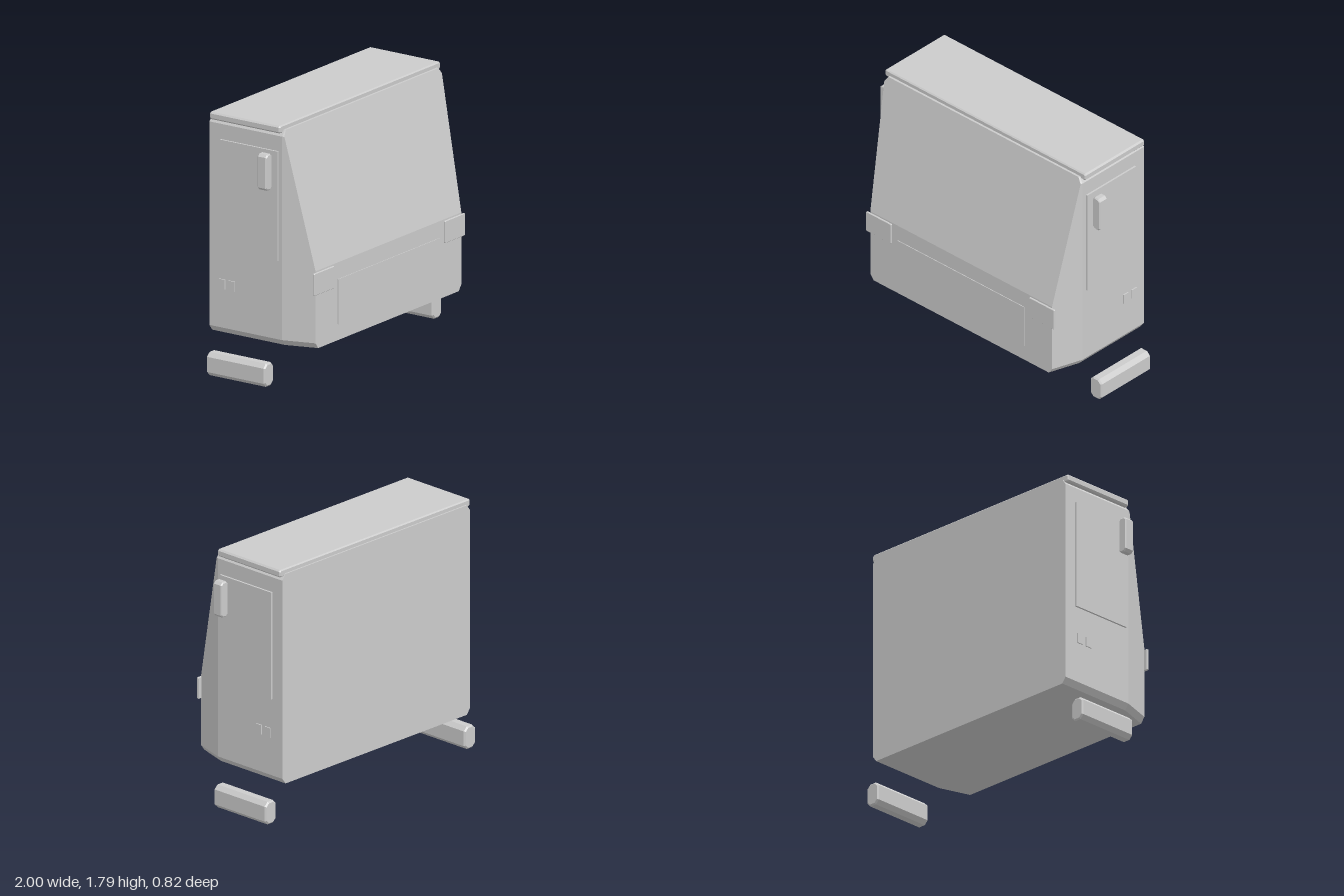
import * as THREE from 'three';

const material = new THREE.MeshStandardMaterial({ color: 0xcccccc, flatShading: true });

// Block between two corners: octagonal in x/y with corner cut c, ends bevelled along z by b
function chamferedBlock(name, [x0, x1], [y0, y1], [z0, z1], c, b) {
  const w = (x1 - x0) / 2 - b, h = (y1 - y0) / 2 - b;
  const shape = new THREE.Shape([
    [w, -h + c], [w, h - c], [w - c, h], [-w + c, h],
    [-w, h - c], [-w, -h + c], [-w + c, -h], [w - c, -h],
  ].map(([x, y]) => new THREE.Vector2(x, y)));
  const depth = z1 - z0 - 2 * b;
  const geometry = new THREE.ExtrudeGeometry(shape, {
    depth, bevelEnabled: true, bevelSize: b, bevelThickness: b, bevelSegments: 1,
  });
  geometry.translate(0, 0, -depth / 2);
  const mesh = new THREE.Mesh(geometry, material);
  mesh.name = name;
  mesh.position.set((x0 + x1) / 2, (y0 + y1) / 2, (z0 + z1) / 2);
  return mesh;
}

function box(name, [x0, x1], [y0, y1], [z0, z1]) {
  const mesh = new THREE.Mesh(new THREE.BoxGeometry(x1 - x0, y1 - y0, z1 - z0), material);
  mesh.name = name;
  mesh.position.set((x0 + x1) / 2, (y0 + y1) / 2, (z0 + z1) / 2);
  return mesh;
}

// Cab shell lofted from six-sided plan sections, the front corners cut at an angle
function cabShell() {
  const back = -0.41, cornerZ = 0.18;
  const sections = [ // height, half width, front z
    [0.275, 0.86, 0.4], [0.315, 0.89, 0.4], [0.81, 0.89, 0.4],
    [1.715, 0.89, 0.195], [1.755, 0.86, 0.186],
  ];
  const rings = sections.map(([y, w, f]) => {
    const fw = w - 0.32 * (f - cornerZ);
    return [[w, y, back], [-w, y, back], [-w, y, cornerZ], [-fw, y, f], [fw, y, f], [w, y, cornerZ]];
  });
  const points = [];
  const tri = (a, b, c) => points.push(...a, ...b, ...c);
  for (let r = 0; r < rings.length - 1; r++) {
    const lo = rings[r], hi = rings[r + 1];
    for (let i = 0; i < 6; i++) {
      const j = (i + 1) % 6;
      tri(lo[i], lo[j], hi[j]);
      tri(lo[i], hi[j], hi[i]);
    }
  }
  const bottom = rings[0], top = rings[rings.length - 1];
  for (let i = 1; i < 5; i++) {
    tri(bottom[0], bottom[i + 1], bottom[i]);
    tri(top[0], top[i], top[i + 1]);
  }
  const geometry = new THREE.BufferGeometry();
  geometry.setAttribute('position', new THREE.Float32BufferAttribute(points, 3));
  geometry.computeVertexNormals();
  const mesh = new THREE.Mesh(geometry, material);
  mesh.name = 'cabShell';
  return mesh;
}

export function createModel() {
  const model = new THREE.Group();
  model.name = 'truckCab';
  model.add(cabShell());
  model.add(chamferedBlock('roof', [-0.905, 0.905], [1.735, 1.787], [-0.4, 0.17], 0.006, 0.008));
  model.add(box('grillePanel', [-0.57, 0.57], [0.385, 0.695], [0.38, 0.405]));

  // Parts repeated on both sides
  for (const [side, s] of [['left', 1], ['right', -1]]) {
    const span = (a, b) => (s > 0 ? [a, b] : [-b, -a]);
    model.add(
      box(side + 'Door', span(0.88, 0.903), [0.855, 1.61], [-0.32, 0.15]),
      chamferedBlock(side + 'Mirror', span(0.925, 0.993), [1.352, 1.6], [0.05, 0.125], 0.013, 0.008),
      chamferedBlock(side + 'Step', span(0.893, 0.998), [0, 0.16], [-0.36, 0.115], 0.022, 0.01),
      chamferedBlock(side + 'Headlamp', span(0.622, 0.848), [0.648, 0.8], [0.396, 0.412], 0.003, 0.003),
      box(side + 'FrontButton', span(0.906, 0.914), [0.587, 0.655], [-0.237, -0.19]),
      box(side + 'RearButton', span(0.906, 0.914), [0.587, 0.655], [-0.318, -0.27]),
    );
  }
  return model;
}
